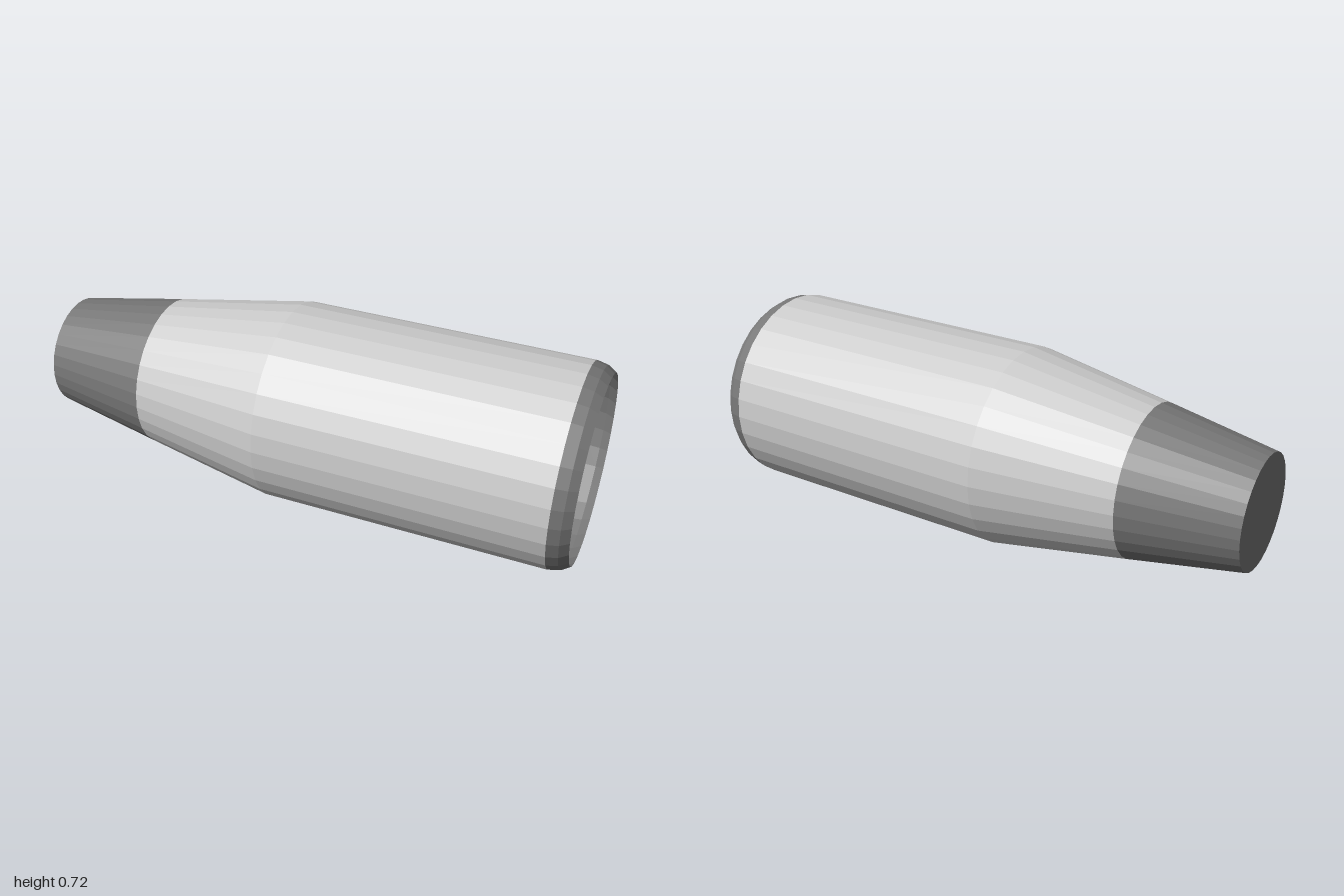
import * as THREE from 'three';

const SIDES = 32, BLADES = 24, RADIUS = 0.362;

const mat = (color) => new THREE.MeshStandardMaterial({ color, flatShading: true, side: THREE.DoubleSide });

// Revolve [axial x, radius] points around the x axis
function revolve(name, points, material) {
  const geo = new THREE.LatheGeometry(points.map(([x, r]) => new THREE.Vector2(r, x)), SIDES);
  geo.rotateZ(-Math.PI / 2);
  const mesh = new THREE.Mesh(geo, material);
  mesh.name = name;
  return mesh;
}

export function createModel() {
  const model = new THREE.Group();
  model.name = 'jetEngine';
  const engine = new THREE.Group();
  engine.name = 'engine';
  engine.position.y = RADIUS;
  model.add(engine);

  const light = mat(0xcccccc), grey = mat(0x777777), dark = mat(0x2c2c2c), black = mat(0x111111);

  // Casing: tapered tail, straight body, front rim and inner duct wall
  engine.add(revolve('casing', [[-0.6, 0.275], [-0.1, RADIUS], [0.93, RADIUS], [0.93, 0.318], [0.79, 0.318]], light));

  // Intake lip, curving inward
  engine.add(revolve('intakeLip', [[0.93, RADIUS], [0.97, 0.353], [1, 0.333]], grey));

  // Exhaust nozzle with closed end
  engine.add(revolve('exhaustNozzle', [[-1, 0], [-1, 0.203], [-0.6, 0.275]], grey));

  // Plate behind the fan, with a dark ring around it
  engine.add(revolve('fanBackPlate', [[0.8, 0], [0.8, 0.313]], grey));
  engine.add(revolve('fanSealRing', [[0.8, 0.313], [0.8, 0.318]], black));

  // Fan of pitched blades
  const fan = new THREE.Group();
  fan.name = 'fan';
  fan.position.x = 0.86;
  engine.add(fan);
  const bladeGeo = new THREE.BoxGeometry(0.1, 0.27, 0.012);
  bladeGeo.rotateY(-Math.PI / 6);
  bladeGeo.translate(0, 0.173, 0);
  for (let i = 0; i < BLADES; i++) {
    const blade = new THREE.Mesh(bladeGeo, dark);
    blade.name = 'fanBlade';
    blade.rotation.x = (i / BLADES) * Math.PI * 2;
    fan.add(blade);
  }

  // Rounded spinner
  const spinner = new THREE.Mesh(
    new THREE.SphereGeometry(0.063, 24, 16),
    new THREE.MeshStandardMaterial({ color: 0x111111 })
  );
  spinner.name = 'spinner';
  spinner.scale.x = 1.5;
  spinner.position.x = 0.01;
  fan.add(spinner);

  return model;
}
